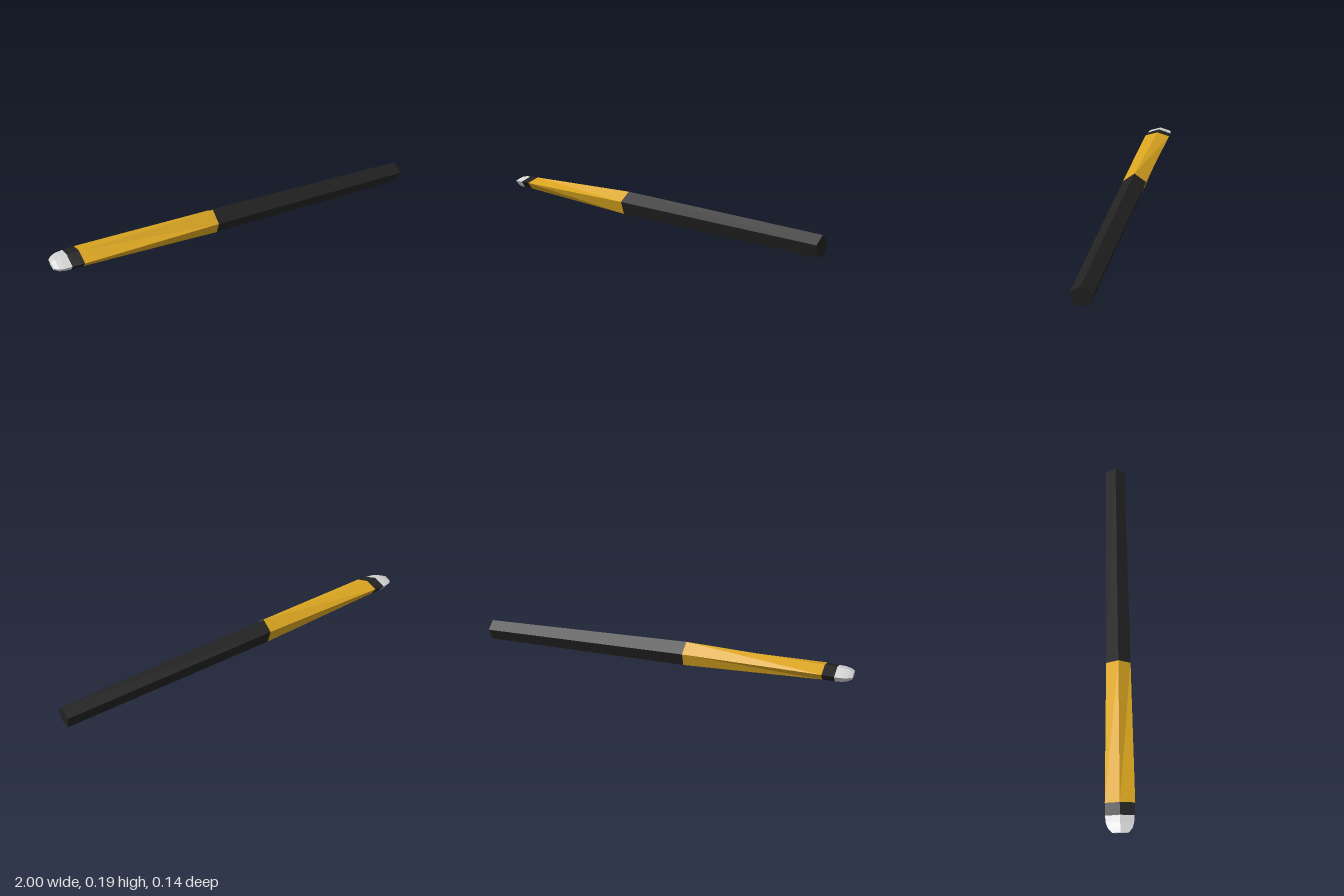
import * as THREE from 'three';

// Five-sided cross-sections as [x, y, z] corners:
// ridge, back, lower back, lower front, front
const ring = (x, corners, lean = 0) => corners.map(([z, y], i) => [x - lean * [0, 0.4, 1, 1, 0.4][i], y, z]);

const tipEnd = ring(-1, [[-0.002, 0.178], [-0.04, 0.167], [-0.024, 0.149], [0.022, 0.149], [0.037, 0.166]]);
const tipMid = ring(-0.98, [[-0.002, 0.186], [-0.06, 0.169], [-0.037, 0.142], [0.035, 0.142], [0.056, 0.167]]);
const tipBase = ring(-0.92, [[-0.002, 0.192], [-0.073, 0.17], [-0.046, 0.134], [0.043, 0.134], [0.067, 0.168]]);
const tipShoulder = ring(-0.955, [[-0.002, 0.19], [-0.07, 0.17], [-0.044, 0.137], [0.041, 0.137], [0.064, 0.168]]);
const bandEnd = ring(-0.86, [[-0.002, 0.191], [-0.073, 0.17], [-0.046, 0.132], [0.045, 0.132], [0.072, 0.167]]);
const middle = ring(-0.15, [[0.009, 0.179], [-0.053, 0.136], [-0.03, 0.065], [0.047, 0.065], [0.071, 0.132]]);
const buttEnd = ring(1, [[0.021, 0.1], [-0.031, 0.064], [-0.011, 0.002], [0.051, 0.001], [0.072, 0.061]], 0.007);

// Skin consecutive rings running toward +x, with optional end caps
function loft(rings, capStart, capEnd) {
  const pos = [];
  const tri = (a, b, c) => pos.push(...a, ...b, ...c);
  for (let r = 0; r < rings.length - 1; r++) {
    const a = rings[r], b = rings[r + 1];
    for (let i = 0; i < 5; i++) {
      const j = (i + 1) % 5;
      tri(a[i], b[i], a[j]);
      tri(a[j], b[i], b[j]);
    }
  }
  const first = rings[0], last = rings[rings.length - 1];
  for (let i = 1; i < 4; i++) {
    if (capStart) tri(first[0], first[i], first[i + 1]);
    if (capEnd) tri(last[0], last[i + 1], last[i]);
  }
  const g = new THREE.BufferGeometry();
  g.setAttribute('position', new THREE.Float32BufferAttribute(pos, 3));
  g.computeVertexNormals();
  return g;
}

export function createModel() {
  const material = (name, color) => {
    const m = new THREE.MeshStandardMaterial({ color, flatShading: true });
    m.name = name;
    return m;
  };
  const black = material('black', 0x222222);
  const gold = material('gold', 0xdaa520);
  const silver = material('silver', 0xd3d3d3);

  const group = new THREE.Group();
  const add = (name, geometry, mat) => {
    const mesh = new THREE.Mesh(geometry, mat);
    mesh.name = name;
    group.add(mesh);
  };

  add('roundedTip', loft([tipEnd, tipMid, tipShoulder, tipBase], true, false), silver);
  add('tipBand', loft([tipBase, bandEnd], false, false), black);
  add('flattenedShaft', loft([bandEnd, middle], false, false), gold);
  add('handle', loft([middle, buttEnd], false, true), black);
  return group;
}
